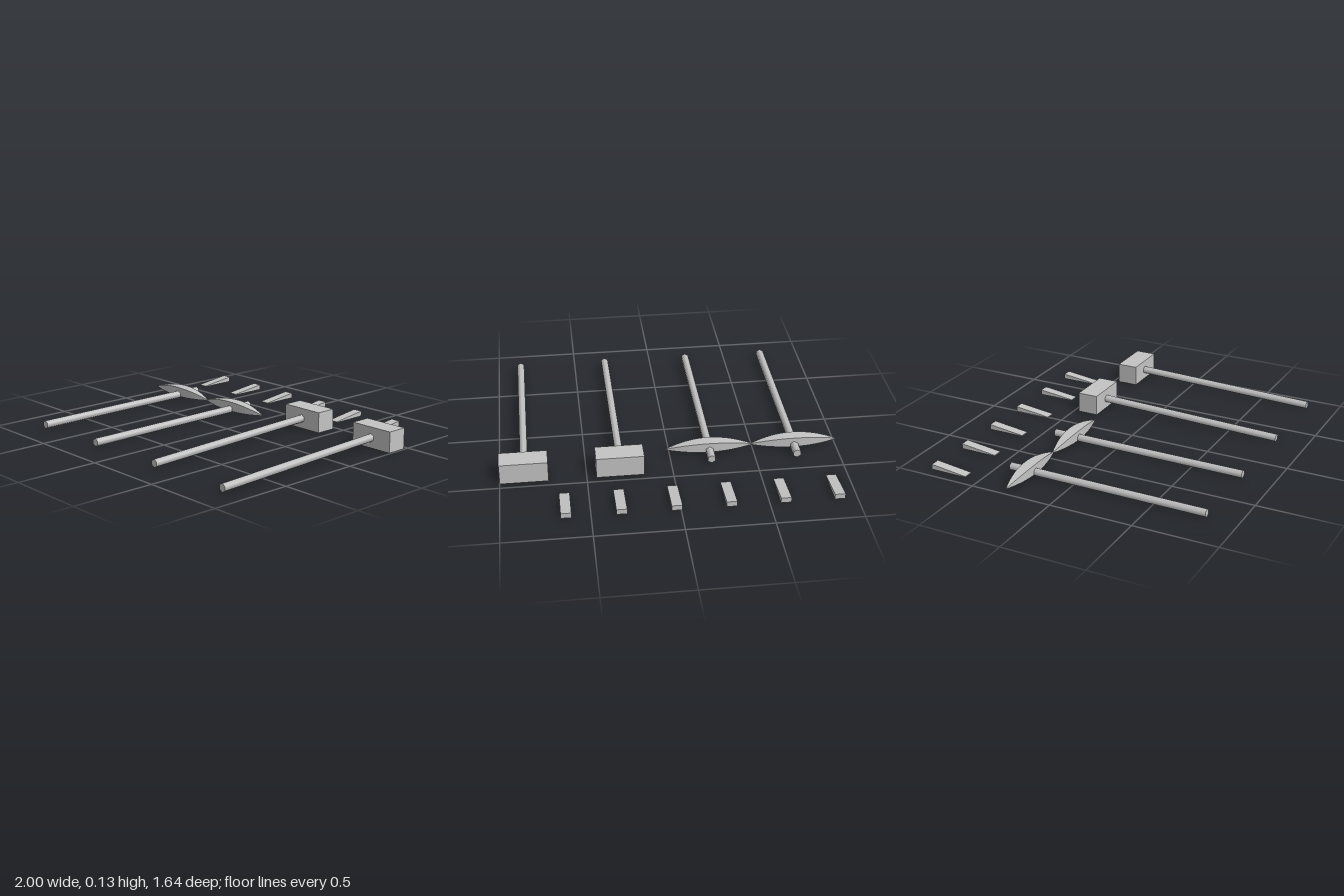
import * as THREE from 'three';

const steel = new THREE.MeshStandardMaterial({ color: 0xc4c4c4 });
steel.name = 'grey';

function part(name, geometry) {
  const mesh = new THREE.Mesh(geometry, steel);
  mesh.name = name;
  return mesh;
}

// Move every vertex of a geometry by a rule
function reshape(geometry, rule) {
  const p = geometry.attributes.position;
  const v = new THREE.Vector3();
  for (let i = 0; i < p.count; i++) {
    rule(v.fromBufferAttribute(p, i));
    p.setXYZ(i, v.x, v.y, v.z);
  }
  geometry.computeVertexNormals();
  return geometry;
}

// Six-sided shaft running from the grip end to the head end
function handle(x, yFront, zFront, yBack, zBack) {
  const front = new THREE.Vector3(x, yFront, zFront);
  const back = new THREE.Vector3(x, yBack, zBack);
  const mesh = part('handle', new THREE.CylinderGeometry(0.025, 0.025, front.distanceTo(back), 6));
  mesh.position.copy(front).add(back).multiplyScalar(0.5);
  mesh.rotation.x = Math.PI / 2 + Math.atan2(yBack - yFront, zFront - zBack);
  return mesh;
}

// Pick: curved blade tapering to a point at both ends
function pick(x) {
  const group = new THREE.Group();
  group.name = 'pick';
  const blade = reshape(new THREE.BoxGeometry(2, 2, 2, 16, 1, 1), (v) => {
    const bulge = 1 - v.x * v.x;
    v.y = v.y > 0 ? 0.04 + 0.041 * bulge : 0.035 - 0.014 * bulge;
    v.z *= 0.002 + 0.033 * bulge;
    v.x *= 0.257;
  });
  const head = part('pickHead', blade);
  head.position.set(x, 0, -0.273);
  group.add(head, handle(x, 0.028, 0.82, 0.033, -0.4));
  return group;
}

// Sledgehammer: block head on a shaft that rests on the ground at the grip
function hammer(x) {
  const group = new THREE.Group();
  group.name = 'hammer';
  const head = part('hammerHead', new THREE.BoxGeometry(0.279, 0.126, 0.127));
  head.position.set(x + 0.003, 0.066, -0.4);
  group.add(head, handle(x, 0.029, 0.82, 0.066, -0.4));
  return group;
}

// Wedge: thick at the back, thin at the front
function wedge(x) {
  const geometry = reshape(new THREE.BoxGeometry(0.06, 0.032, 0.228), (v) => {
    v.y = v.y < 0 ? 0 : v.z > 0 ? 0.005 : 0.032;
  });
  const mesh = part('wedge', geometry);
  mesh.position.set(x, 0, -0.708);
  return mesh;
}

export function createModel() {
  const model = new THREE.Group();
  model.name = 'miningTools';
  for (const x of [-0.743, -0.235]) model.add(pick(x));
  for (const x of [0.303, 0.856]) model.add(hammer(x));
  for (let i = 0; i < 6; i++) model.add(wedge(-0.9 + i * 0.3075));
  return model;
}
